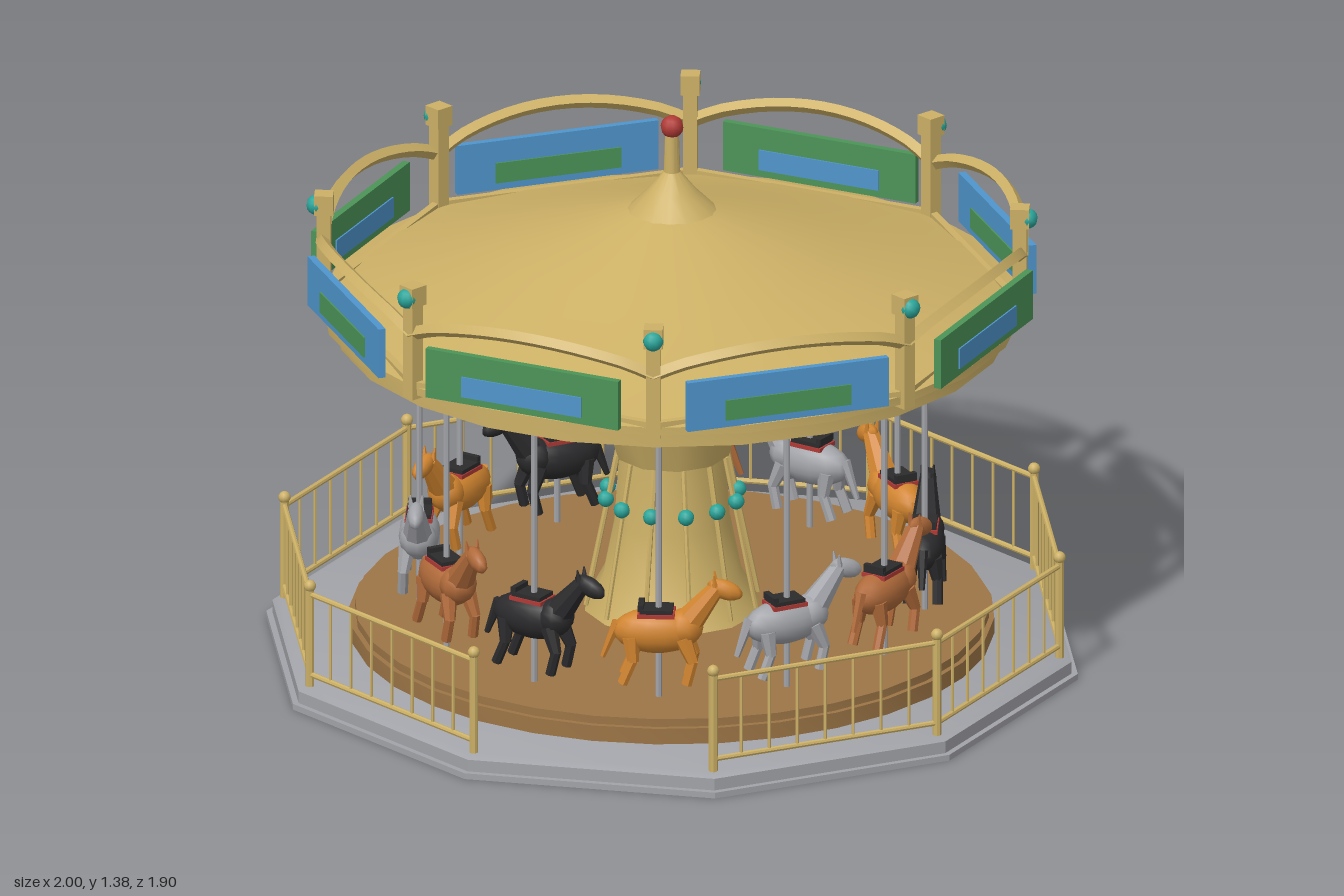
import * as THREE from 'three';
import { toCreasedNormals } from 'three/addons/utils/BufferGeometryUtils.js';

const mat = (name, color) => {
  const m = new THREE.MeshStandardMaterial({ color });
  m.name = name;
  return m;
};
const V = (x, y, z) => new THREE.Vector3(x, y, z);
const crease = (g) => toCreasedNormals(g, 0.6);

// Solid of revolution from [radius, height] pairs, listed bottom to top
const turned = (pts, sides) =>
  crease(new THREE.LatheGeometry(pts.map(([r, y]) => new THREE.Vector2(r, y)), sides, Math.PI / 2));

// Straight round bar from a to b
function rod(a, b, r1, r2 = r1, sides = 8) {
  const d = b.clone().sub(a);
  const g = new THREE.CylinderGeometry(r2, r1, d.length(), sides);
  g.applyQuaternion(new THREE.Quaternion().setFromUnitVectors(V(0, 1, 0), d.normalize()));
  const c = a.clone().add(b).multiplyScalar(0.5);
  return crease(g.translate(c.x, c.y, c.z));
}
const box = (w, h, d, x, y, z) => new THREE.BoxGeometry(w, h, d).translate(x, y, z);
const ball = (r, x, y, z, ws = 10, hs = 8) => new THREE.SphereGeometry(r, ws, hs).translate(x, y, z);

function add(parent, name, geometry, material) {
  const m = new THREE.Mesh(geometry, material);
  m.name = name;
  parent.add(m);
  return m;
}

// Group whose local +z points outward at the given angle (degrees from +x towards +z)
function spoke(parent, name, deg) {
  const g = new THREE.Group();
  g.name = name;
  g.rotation.y = Math.PI / 2 - THREE.MathUtils.degToRad(deg);
  parent.add(g);
  return g;
}

export function createModel() {
  const gold = mat('gold', 0xccb066);
  const grey = mat('grey', 0xa2a3a8);
  const wood = mat('wood', 0x9c7546);
  const brown = mat('brown', 0xb06a3a);
  const orange = mat('orange', 0xd0842f);
  const black = mat('black', 0x2b2b2d);
  const blue = mat('blue', 0x4f95cc);
  const green = mat('green', 0x4c9458);
  const teal = mat('teal', 0x2aa59a);
  const red = mat('red', 0xb03a36);

  const model = new THREE.Group();
  model.name = 'carousel';

  // Ten-sided stepped base and round wooden floor
  add(model, 'base', turned([[0, 0], [1, 0], [1, 0.015], [0.985, 0.015], [0.985, 0.045],
    [0.965, 0.055], [0, 0.055]], 10), grey);
  add(model, 'floor', turned([[0.778, 0.05], [0.778, 0.095], [0.765, 0.095], [0.765, 0.115], [0, 0.115]], 32), wood);

  // Centre column with its funnel
  add(model, 'centreColumn', turned([[0.215, 0.115], [0.17, 0.2], [0.142, 0.34], [0.13, 0.52]], 12), gold);
  add(model, 'funnel', turned([[0, 0.51], [0.14, 0.51], [0.235, 0.8], [0, 0.8]], 10), gold);
  for (let i = 0; i < 12; i++) {
    const s = spoke(model, 'columnRib', i * 30);
    add(s, 'rib', rod(V(0, 0.51, 0.135), V(0, 0.4, 0.157), 0.007, 0.007, 6), gold);
    add(s, 'ribFoot', rod(V(0, 0.4, 0.157), V(0, 0.13, 0.212), 0.006, 0.006, 6), gold);
    add(s, 'ribLamp', ball(0.02, 0, 0.4, 0.163), teal);
  }

  // Canopy: flat ceiling, stepped rim, sloping roof, cupola and finial
  add(model, 'canopy', turned([[0, 0.838], [0.815, 0.838], [0.815, 0.87], [0.845, 0.88], [0.845, 0.9],
    [0.785, 0.912], [0.4, 1.045], [0.1, 1.14]], 24), gold);
  add(model, 'cupola', turned([[0.115, 1.13], [0.06, 1.185], [0.02, 1.235], [0.017, 1.33], [0, 1.33]], 16), gold);
  add(model, 'finial', ball(0.028, 0, 1.35, 0), red);

  // Canopy posts with caps and lamps
  for (let i = 0; i < 8; i++) {
    const s = spoke(model, 'canopyPost', i * 45);
    add(s, 'post', box(0.034, 0.27, 0.034, 0, 1.005, 0.84), gold);
    add(s, 'postCap', box(0.046, 0.05, 0.046, 0, 1.135, 0.84), gold);
    add(s, 'postLamp', ball(0.025, 0, 1.13, 0.858), teal);
  }

  // Bays between posts: arch, lower bar and painted panel
  for (let i = 0; i < 8; i++) {
    const s = spoke(model, 'canopyBay', i * 45 + 22.5);
    const pts = [];
    for (let k = 0; k <= 10; k++) {
      const a = (k / 10 - 0.5) * Math.PI / 4;
      const y = 1.035 + 0.065 * Math.pow(Math.sin(Math.PI * k / 10), 0.75);
      pts.push(V(0.843 * Math.sin(a), y, 0.843 * Math.cos(a)));
    }
    const arch = new THREE.TubeGeometry(new THREE.CatmullRomCurve3(pts), 16, 0.017, 4);
    add(s, 'arch', crease(arch), gold);
    add(s, 'lowerBar', box(0.62, 0.018, 0.018, 0, 0.905, 0.777), gold);
    const [board, inset] = i % 2 ? [green, blue] : [blue, green];
    add(s, 'panel', box(0.514, 0.126, 0.018, 0, 0.966, 0.832), board);
    for (const side of [-1, 1]) {
      add(s, 'panelInset', box(0.32, 0.052, 0.006, 0, 0.947, 0.832 + side * 0.01), inset);
    }
  }

  // Fence on the base, with one open side as the entrance
  const R = 0.955;
  const apothem = R * Math.cos(Math.PI / 10);
  const half = R * Math.sin(Math.PI / 10);
  for (let i = 0; i < 10; i++) {
    const p = spoke(model, 'fencePost', i * 36);
    add(p, 'post', rod(V(0, 0.05, R), V(0, 0.305, R), 0.011), gold);
    add(p, 'postKnob', ball(0.015, 0, 0.313, R), gold);
    if (i === 1) continue;
    const f = spoke(model, 'fenceSide', i * 36 + 18);
    for (const y of [0.085, 0.292]) {
      add(f, 'rail', rod(V(-half, y, apothem), V(half, y, apothem), 0.007), gold);
    }
    for (let k = 1; k < 8; k++) {
      const x = half * (k / 4 - 1);
      add(f, 'bar', rod(V(x, 0.085, apothem), V(x, 0.292, apothem), 0.004, 0.004, 6), gold);
    }
  }

  // Horse parts, shared by all horses; +x is forward
  const coatParts = {
    body: new THREE.SphereGeometry(1, 14, 10).scale(0.108, 0.056, 0.05).translate(-0.005, 0.285, 0),
    chest: new THREE.SphereGeometry(0.046, 10, 8).translate(0.062, 0.295, 0),
    neck: rod(V(0.065, 0.3, 0), V(0.142, 0.4, 0), 0.038, 0.02),
    head: new THREE.SphereGeometry(1, 10, 8).scale(0.045, 0.024, 0.02).rotateZ(-0.35).translate(0.16, 0.393, 0),
    tail: rod(V(-0.1, 0.305, 0), V(-0.135, 0.215, 0), 0.014, 0.007, 6),
  };
  for (const z of [-1, 1]) {
    const side = z < 0 ? 'left' : 'right';
    coatParts[side + 'Ear'] = rod(V(0.137, 0.405, z * 0.012), V(0.134, 0.435, z * 0.015), 0.008, 0.002, 5);
    for (const [end, hip, knee, foot] of [['Front', 0.06, 0.085, 0.07], ['Rear', -0.065, -0.06, -0.085]]) {
      coatParts[side + end + 'Thigh'] = rod(V(hip, 0.275, z * 0.025), V(knee, 0.215, z * 0.034), 0.022, 0.014, 7);
      coatParts[side + end + 'Shin'] = rod(V(knee, 0.22, z * 0.034), V(foot, 0.16, z * 0.036), 0.013, 0.013, 7);
    }
  }
  const blanket = crease(new THREE.CylinderGeometry(0.055, 0.055, 0.075, 14, 1, false, -1.2, 2.4)
    .rotateZ(Math.PI / 2).rotateX(Math.PI).rotateX(Math.PI / 2 + Math.PI / 2).translate(-0.005, 0.287, 0));
  const saddle = box(0.08, 0.014, 0.06, -0.005, 0.339, 0);
  const saddleBack = box(0.014, 0.016, 0.056, -0.042, 0.35, 0);
  const pole = rod(V(0, 0.11, 0), V(0, 0.845, 0), 0.008);

  // Ring of horses on poles
  const coats = [grey, orange, black, brown];
  for (let i = 0; i < 12; i++) {
    const s = spoke(model, 'horseAndPole', 15 + i * 30);
    const horse = new THREE.Group();
    horse.name = 'horse';
    horse.position.z = 0.61;
    s.add(horse);
    for (const [name, g] of Object.entries(coatParts)) add(horse, name, g, coats[i % 4]);
    add(horse, 'saddleBlanket', box(0.09, 0.01, 0.066, -0.005, 0.331, 0), red);
    add(horse, 'saddle', saddle, black);
    add(horse, 'saddleBack', saddleBack, black);
    add(horse, 'pole', pole, grey);
  }
  return model;
}
